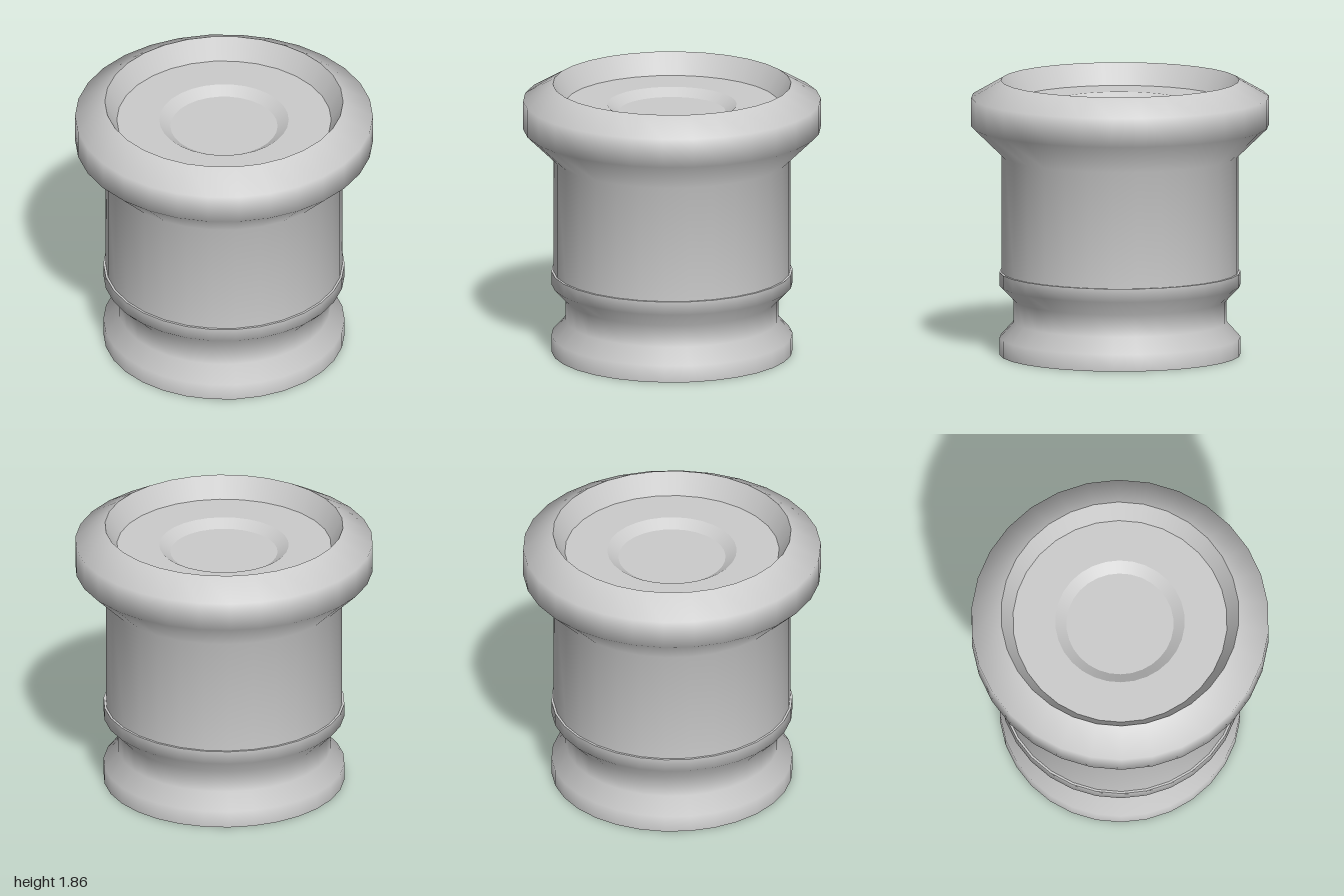
import * as THREE from 'three';

const SIDES = 30;

// Each strip is a smooth run of [radius, height]; separate strips meet in hard edges.
function turned(name, material, ...strips) {
  const group = new THREE.Group();
  group.name = name;
  for (const strip of strips) {
    const points = strip.map(([r, y]) => new THREE.Vector2(r, y));
    const mesh = new THREE.Mesh(new THREE.LatheGeometry(points, SIDES, Math.PI / 2), material);
    mesh.name = name + 'Surface';
    group.add(mesh);
  }
  return group;
}

export function createModel() {
  const model = new THREE.Group();
  model.name = 'turnedPot';
  const grey = new THREE.MeshStandardMaterial({ color: 0xcccccc });

  // Grooved foot with flat underside and a narrow ledge on top
  model.add(turned('base', grey,
    [[0, 0], [0.81, 0]],
    [[0.81, 0], [0.81, 0.115], [0.715, 0.22], [0.715, 0.37], [0.81, 0.47], [0.81, 0.56]],
    [[0.81, 0.56], [0.795, 0.56]]));

  // Straight body flaring into the wide bevelled rim
  model.add(turned('bodyAndRim', grey,
    [[0.795, 0.56], [0.795, 1.35], [1, 1.55], [1, 1.745], [0.8, 1.86]]));

  // Sloped recess in the top with its flat floor
  model.add(turned('topRecess', grey,
    [[0.8, 1.86], [0.72, 1.715]],
    [[0.72, 1.715], [0.435, 1.715]]));

  // Shallow central dish
  model.add(turned('centreDish', grey,
    [[0.435, 1.715], [0.36, 1.665]],
    [[0.36, 1.665], [0, 1.665]]));

  return model;
}
